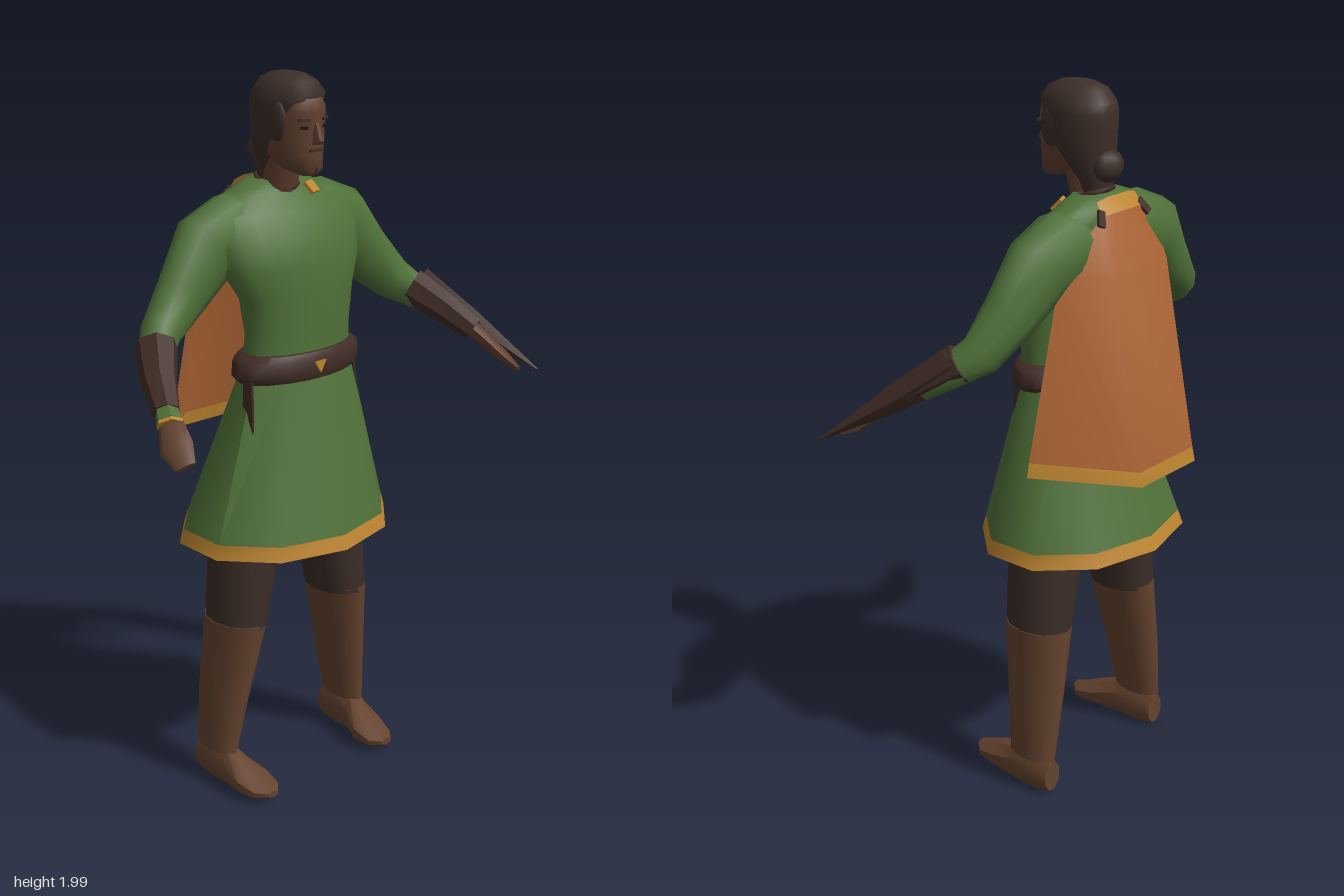
import * as THREE from 'three';
import { toCreasedNormals } from 'three/addons/utils/BufferGeometryUtils.js';

const CX = -0.025; // the figure stands slightly off centre
const V = (x, y, z) => new THREE.Vector3(x, y, z);
const X = V(1, 0, 0), Y = V(0, 1, 0), Z = V(0, 0, 1);

function mat(name, color, double) {
  const m = new THREE.MeshStandardMaterial({ color });
  m.name = name;
  if (double) m.side = THREE.DoubleSide;
  return m;
}

function finish(pos, idx, crease) {
  const g = new THREE.BufferGeometry();
  g.setAttribute('position', new THREE.Float32BufferAttribute(pos, 3));
  g.setIndex(idx);
  return toCreasedNormals(g, crease);
}

// Skin elliptical rings [x, y, z, radiusU, radiusV]; axis fixes the ring plane, otherwise it follows the path.
function loft(rings, { sides = 12, axis = null, ref = X, phase = 0, cap = true, crease = 0.9 } = {}) {
  const pts = rings.map(r => V(r[0], r[1], r[2])), n = rings.length;
  let list = rings.map((r, i) => ({
    c: pts[i], ru: r[3], rv: r[4],
    t: axis || pts[Math.min(i + 1, n - 1)].clone().sub(pts[Math.max(i - 1, 0)]).normalize(),
  }));
  if (cap) list = [{ ...list[0], ru: 0, rv: 0 }, ...list, { ...list[n - 1], ru: 0, rv: 0 }];
  const pos = [], idx = [];
  for (const { c, ru, rv, t } of list) {
    const u = ref.clone().addScaledVector(t, -ref.dot(t)).normalize();
    const v = u.clone().cross(t);
    for (let j = 0; j < sides; j++) {
      const a = phase + j / sides * Math.PI * 2;
      const p = c.clone().addScaledVector(u, Math.cos(a) * ru).addScaledVector(v, Math.sin(a) * rv);
      pos.push(p.x, p.y, p.z);
    }
  }
  for (let i = 0; i < list.length - 1; i++) for (let j = 0; j < sides; j++) {
    const k = (j + 1) % sides, a = i * sides + j, b = i * sides + k;
    idx.push(a, a + sides, b, b, a + sides, b + sides);
  }
  return finish(pos, idx, crease);
}

// Open sheet through rows of points
function sheet(rows) {
  const w = rows[0].length, idx = [];
  for (let i = 0; i < rows.length - 1; i++) for (let j = 0; j < w - 1; j++) {
    const a = i * w + j;
    idx.push(a, a + 1, a + w, a + 1, a + w + 1, a + w);
  }
  return finish(rows.flat(2), idx, 1.2);
}

export function createModel() {
  const M = {
    tunic: mat('tunic green', 0x4f7038, true),
    gold: mat('gold trim', 0xbd8530, true),
    cape: mat('cape orange', 0xac6434, true),
    trousers: mat('trouser brown', 0x3b2d27),
    leather: mat('dark leather', 0x402c25, true),
    boots: mat('boot brown', 0x65432e),
    skin: mat('skin', 0x61402f),
    hair: mat('hair', 0x3d2e28),
    dark: mat('eye dark', 0x1c1412),
  };
  const model = new THREE.Group();
  model.name = 'cloakedFigure';
  const add = (name, geo, m, x = 0, y = 0, z = 0) => {
    const mesh = new THREE.Mesh(geo, m);
    mesh.name = name;
    mesh.position.set(x, y, z);
    model.add(mesh);
    return mesh;
  };
  const up = { axis: Y };

  // Tunic body, broad at the chest so that it runs into the sleeves
  add('torso', loft([
    [-0.015, 1.2, 0.01, 0.178, 0.095], [-0.008, 1.32, 0.012, 0.172, 0.088],
    [-0.01, 1.42, 0.01, 0.188, 0.09], [-0.02, 1.5, 0, 0.228, 0.094], [-0.025, 1.58, -0.025, 0.245, 0.106],
    [-0.025, 1.64, -0.052, 0.235, 0.092], [-0.025, 1.69, -0.07, 0.155, 0.07],
    [-0.025, 1.718, -0.07, 0.08, 0.052]], { ...up, sides: 20, crease: 1.1 }), M.tunic);

  // Flared skirt with gold hem
  const skirt = { ...up, sides: 10, phase: Math.PI / 2, cap: false };
  const hemTop = [-0.031, 0.78, -0.016, 0.315, 0.245];
  add('skirt', loft([hemTop, [-0.015, 1.22, 0.01, 0.182, 0.098]], skirt), M.tunic);
  add('skirtHem', loft([[-0.031, 0.74, -0.018, 0.327, 0.258], hemTop], skirt), M.gold);

  // Belt, buckle and hanging ends
  add('belt', loft([[-0.017, 1.198, 0.015, 0.195, 0.1], [-0.017, 1.213, 0.015, 0.21, 0.107],
    [-0.017, 1.255, 0.015, 0.206, 0.106], [-0.017, 1.272, 0.015, 0.185, 0.096]], { ...up, sides: 18 }), M.leather);
  const buckle = add('buckle', new THREE.CylinderGeometry(0.022, 0.022, 0.008, 3), M.gold, -0.025, 1.238, 0.122);
  buckle.rotation.set(Math.PI / 2, 0, 0);
  for (const s of [1, -1]) add('beltEnd', loft([[CX + s * 0.187, 1.06, 0.06, 0.003, 0.006],
    [CX + s * 0.187, 1.14, 0.045, 0.007, 0.022], [CX + s * 0.183, 1.21, 0.04, 0.007, 0.02]],
    { ...up, sides: 6 }), M.leather);

  // Legs, boots and feet
  for (const s of [1, -1]) {
    const side = s > 0 ? 'left' : 'right', x = d => CX + s * d;
    add(side + 'Trouser', loft([[x(0.187), 0.5, -0.018, 0.076, 0.102], [x(0.153), 0.74, -0.018, 0.1, 0.108],
      [x(0.095), 1.0, -0.01, 0.1, 0.09]], up), M.trousers);
    add(side + 'Boot', loft([[x(0.243), 0.115, -0.04, 0.038, 0.077], [x(0.222), 0.28, -0.034, 0.056, 0.088],
      [x(0.187), 0.512, -0.018, 0.078, 0.103]], up), M.boots);
    const toe = s > 0 ? 0.212 : 0.228;
    add(side + 'Foot', loft([[x(0.24), 0.065, -0.11, 0.032, 0.048], [x(0.24), 0.068, -0.06, 0.04, 0.061],
      [x(0.238), 0.068, 0.02, 0.045, 0.058], [x(toe + 0.005), 0.053, 0.1, 0.058, 0.036],
      [x(toe), 0.044, 0.155, 0.047, 0.021], [x(toe), 0.047, 0.187, 0.018, 0.01]],
      { axis: Z, sides: 8, phase: Math.PI / 8, crease: 0.7 }), M.boots);

    // Arms
    const arm = { ref: Y, sides: 10, crease: 1.1 };
    add(side + 'Sleeve', loft([[x(0.06), 1.595, -0.062, 0.1, 0.085], [x(0.15), 1.59, -0.066, 0.106, 0.09],
      [x(0.232), 1.56, -0.066, 0.104, 0.082], [x(0.325), 1.458, -0.05, 0.08, 0.064],
      [x(0.415), 1.372, -0.03, 0.06, 0.052], [x(0.475), 1.325, 0.025, 0.045, 0.045],
      [x(0.515), 1.28, 0.085, 0.034, 0.034]], arm), M.tunic);
    add(side + 'Bracer', loft([[x(0.455), 1.352, 0.005, 0.053, 0.056], [x(0.51), 1.295, 0.085, 0.043, 0.047],
      [x(0.55), 1.238, 0.165, 0.034, 0.036]], { ...arm, sides: 7, crease: 0.4 }), M.leather);
    add(side + 'Hand', loft([[x(0.545), 1.245, 0.155, 0.022, 0.026], [x(0.562), 1.212, 0.2, 0.019, 0.034],
      [x(0.582), 1.175, 0.245, 0.018, 0.043], [x(0.596), 1.143, 0.298, 0.007, 0.026]],
      { ref: V(s * 0.5, 1, 0), sides: 8, crease: 0.7 }), M.skin);
  }
  // Pointed guard on the left forearm, loose cuff on the right
  add('leftGuard', loft([[0.465, 1.36, 0, 0.045, 0.02], [0.545, 1.255, 0.13, 0.035, 0.02],
    [0.638, 1.13, 0.31, 0.003, 0.003]], { ref: Y, sides: 4, crease: 0.4 }), M.leather);
  const cuff = { ref: Y, sides: 6, crease: 0.4 };
  add('rightCuff', loft([[-0.572, 1.245, 0.16, 0.03, 0.03], [-0.585, 1.222, 0.19, 0.028, 0.034]], cuff), M.tunic);
  add('rightCuffTrim', loft([[-0.585, 1.222, 0.19, 0.029, 0.035], [-0.588, 1.216, 0.197, 0.029, 0.035]], cuff), M.gold);

  // Cape: each row runs outer, inner, inner, outer across the back
  const CAPE_X = -0.032;
  const row = (xo, yo, zo, xi, yi, zi) => [
    [CAPE_X - xo, yo, zo], [CAPE_X - xi, yi, zi], [CAPE_X + xi, yi, zi], [CAPE_X + xo, yo, zo]];
  const neck = row(0.078, 1.71, -0.125, 0.042, 1.718, -0.13);
  const collar = row(0.085, 1.675, -0.146, 0.05, 1.68, -0.156);
  const shoulder = row(0.215, 1.54, -0.115, 0.115, 1.535, -0.207);
  const trim = row(0.326, 1.06, -0.103, 0.116, 1.02, -0.307);
  const hem = row(0.333, 1.02, -0.102, 0.118, 0.98, -0.315);
  add('capeCollar', sheet([neck, collar]), M.gold);
  add('cape', sheet([collar, shoulder, trim]), M.cape);
  add('capeHem', sheet([trim, hem]), M.gold);
  for (const s of [1, -1]) {
    const tab = add('capeTab', new THREE.BoxGeometry(0.022, 0.045, 0.009), M.leather, CAPE_X + s * 0.088, 1.672, -0.148);
    tab.rotation.set(0.5, 0, s * 0.5);
  }
  const clasp = add('clasp', new THREE.BoxGeometry(0.042, 0.036, 0.009), M.gold, 0.05, 1.688, 0.002);
  clasp.rotation.set(-0.8, 0.3, 0.3);
  const neckline = add('neckline', new THREE.TorusGeometry(0.056, 0.007, 6, 16), M.leather, CX, 1.712, -0.052);
  neckline.rotation.x = Math.PI / 2 + 0.3;

  // Neck and head
  const hx = -0.028;
  add('neck', loft([[hx, 1.67, -0.055, 0.055, 0.055], [hx, 1.73, -0.03, 0.05, 0.05],
    [hx, 1.82, -0.015, 0.052, 0.058]], up), M.skin);
  add('head', loft([[hx, 1.742, 0.077, 0.024, 0.022], [hx, 1.757, 0.05, 0.05, 0.06],
    [hx, 1.795, 0.012, 0.066, 0.098], [hx, 1.835, 0.002, 0.074, 0.11], [hx, 1.875, 0, 0.076, 0.109],
    [hx, 1.905, 0, 0.076, 0.113], [hx, 1.94, 0, 0.068, 0.107], [hx, 1.98, 0, 0.04, 0.06]],
    { ...up, sides: 16, crease: 1.1 }), M.skin);
  add('hair', loft([[hx, 1.715, -0.06, 0.044, 0.042], [hx, 1.75, -0.062, 0.05, 0.048],
    [hx, 1.79, -0.045, 0.069, 0.062], [hx, 1.84, -0.022, 0.083, 0.09], [hx, 1.89, -0.014, 0.087, 0.102],
    [hx, 1.925, -0.01, 0.087, 0.108], [hx, 1.95, -0.002, 0.082, 0.111], [hx, 1.98, -0.003, 0.063, 0.088],
    [hx, 1.995, -0.003, 0.037, 0.055], [hx, 2.0, -0.003, 0.012, 0.018]],
    { ...up, sides: 16, crease: 1.2 }), M.hair);
  const bun = add('hairBun', new THREE.SphereGeometry(0.042, 10, 7), M.hair, hx, 1.788, -0.1);
  bun.scale.set(1.2, 1.05, 0.9);

  // Face details
  add('nose', loft([[hx, 1.825, 0.108, 0.017, 0.014], [hx, 1.835, 0.112, 0.015, 0.018],
    [hx, 1.88, 0.1, 0.008, 0.01]], { ...up, sides: 6 }), M.skin);
  for (const s of [1, -1]) {
    const eye = add('eye', new THREE.BoxGeometry(0.02, 0.008, 0.006), M.dark, hx + s * 0.033, 1.868, 0.097);
    const brow = add('brow', new THREE.BoxGeometry(0.03, 0.007, 0.008), M.hair, hx + s * 0.035, 1.888, 0.099);
    eye.rotation.y = brow.rotation.y = s * 0.42;
    const lock = add('sideLock', new THREE.SphereGeometry(0.05, 8, 6), M.hair, hx + s * 0.07, 1.885, 0.03);
    lock.scale.set(0.3, 1.1, 0.75);
  }
  add('moustache', new THREE.BoxGeometry(0.045, 0.008, 0.009), M.hair, hx, 1.81, 0.107);
  add('beard', loft([[hx, 1.742, 0.08, 0.02, 0.02], [hx, 1.757, 0.086, 0.025, 0.025],
    [hx, 1.785, 0.087, 0.02, 0.022]], { ...up, sides: 8 }), M.hair);
  return model;
}
